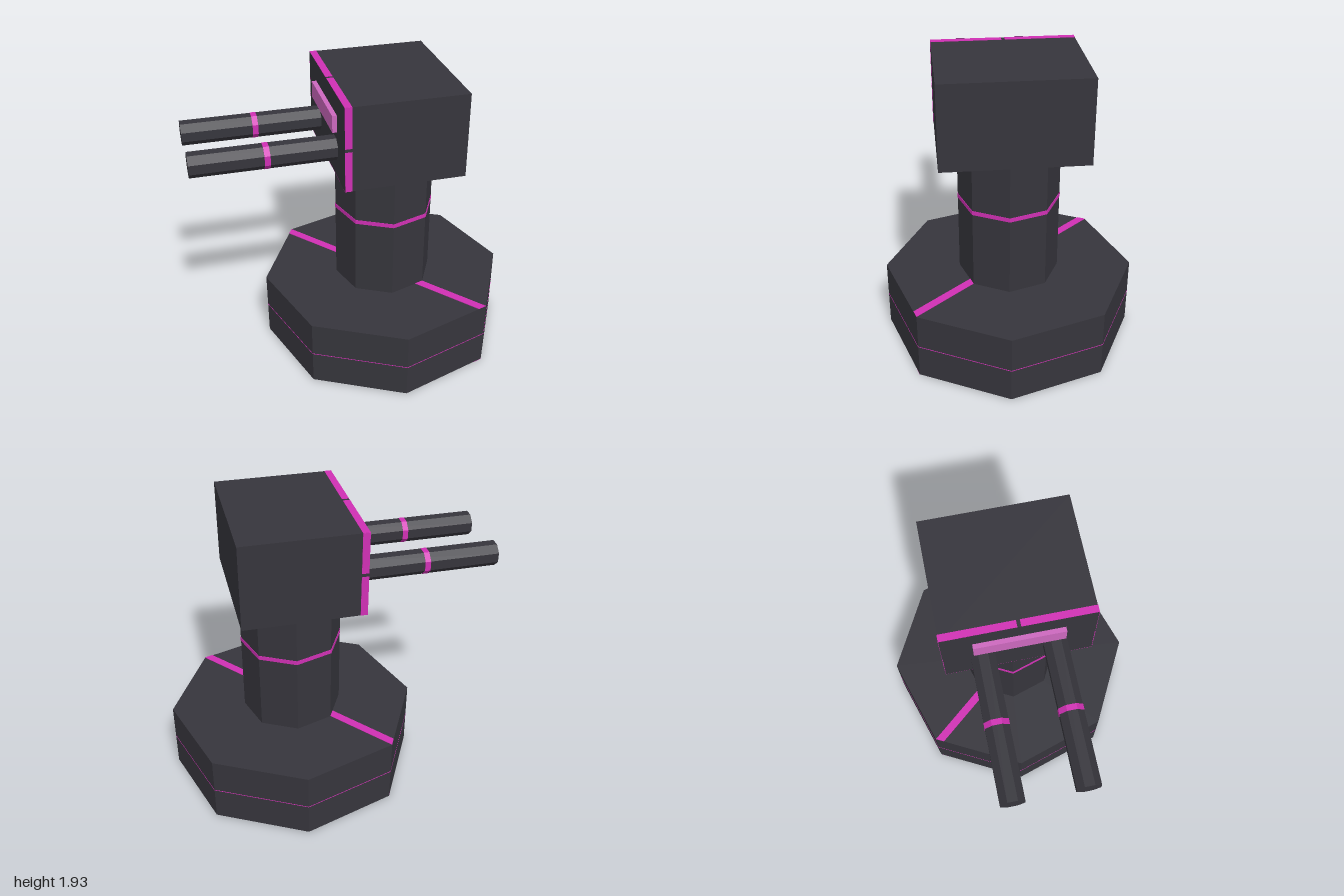
import * as THREE from 'three';

const dark = new THREE.MeshStandardMaterial({ name: 'darkMetal', color: 0x36353c });
const magenta = new THREE.MeshStandardMaterial({ name: 'magentaTrim', color: 0xd030b4 });
const pink = new THREE.MeshStandardMaterial({ name: 'pinkVisor', color: 0xcc68be });

function add(parent, name, geometry, material, x = 0, y = 0, z = 0) {
  const mesh = new THREE.Mesh(geometry, material);
  mesh.name = name;
  mesh.position.set(x, y, z);
  parent.add(mesh);
  return mesh;
}

// Flat-faced eight-sided prism
function octagon(radius, height, turn = 0) {
  const g = new THREE.CylinderGeometry(radius, radius, height, 8).rotateY(turn).toNonIndexed();
  g.computeVertexNormals();
  return g;
}

const box = (w, h, d) => new THREE.BoxGeometry(w, h, d);

export function createModel() {
  const model = new THREE.Group();
  model.name = 'turret';
  const tower = new THREE.Group();
  tower.name = 'tower';
  tower.position.set(0.11, 0, -0.175);
  model.add(tower);

  // Base with a hairline seam, and a stripe across its top and underside
  add(tower, 'base', octagon(0.825, 0.457), dark, 0, 0.2315);
  add(tower, 'baseSeam', octagon(0.8265, 0.004), magenta, 0, 0.227);
  const stripe = new THREE.Shape([[-0.825, 0], [0.825, 0], [0.802, 0.055], [-0.802, 0.055]]
    .map(([x, y]) => new THREE.Vector2(x, y)));
  const stripeGeometry = new THREE.ExtrudeGeometry(stripe, { depth: 0.003, bevelEnabled: false })
    .rotateX(Math.PI / 2);
  add(tower, 'baseTopStripe', stripeGeometry, magenta, 0, 0.463);
  add(tower, 'baseBottomStripe', stripeGeometry, magenta, 0, 0.003);

  // Column and its ring
  add(tower, 'column', octagon(0.33, 0.92), dark, 0, 0.92);
  add(tower, 'columnRing', octagon(0.333, 0.028), magenta, 0, 0.997);

  // Turned head
  const head = new THREE.Group();
  head.name = 'head';
  head.position.y = 1.655;
  head.rotation.y = -40 * Math.PI / 180;
  tower.add(head);
  const w = 0.92, h = 0.55, d = 0.77;
  add(head, 'headBlock', box(w, h, d), dark);

  // Trim band behind the front edge, broken at the middle of each side
  const band = 0.045, gap = 0.022, thin = 0.004, bandZ = d / 2 - band / 2;
  for (const face of [-1, 1]) {
    for (const half of [-1, 1]) {
      add(head, 'headTrimFlat', box((w - gap) / 2, thin, band), magenta,
        half * (w + gap) / 4, face * h / 2, bandZ);
      add(head, 'headTrimSide', box(thin, (h - gap) / 2, band), magenta,
        face * w / 2, half * (h + gap) / 4, bandZ);
    }
  }

  // Visor plate
  add(head, 'visor', box(0.55, 0.11, 0.05), pink, 0, 0.09, d / 2 + 0.005);

  // Twin barrels with rings
  for (const side of [-1, 1]) {
    const barrel = add(head, 'barrel', octagon(0.079, 0.93, Math.PI / 8), dark, side * 0.22, -0.09, 0.817);
    barrel.rotation.x = Math.PI / 2;
    const ring = add(head, 'barrelRing', octagon(0.081, 0.036, Math.PI / 8), magenta, side * 0.22, -0.09, 0.815);
    ring.rotation.x = Math.PI / 2;
  }
  return model;
}
